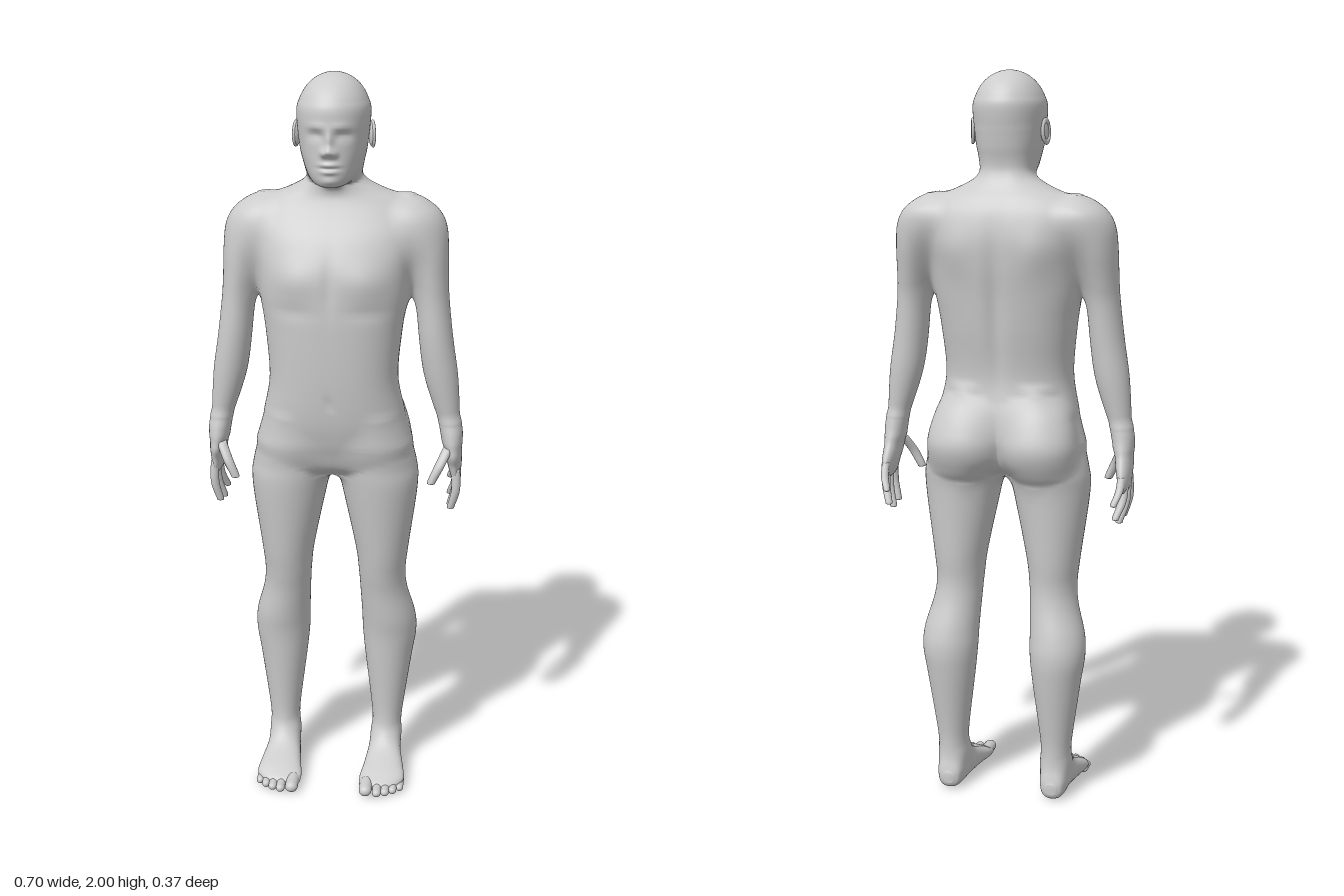
import * as THREE from 'three';

const skin = new THREE.MeshStandardMaterial({ color: 0xcccccc });
skin.name = 'plain grey skin';
const BLEND = 0.04; // reach of the soft joint between parts

// Smooth rings through sections [y, xMin, xMax, zBack, zFront], lowest first
function sampleRings(sections, steps = 6) {
  const rows = [...sections].sort((a, b) => a[0] - b[0]);
  const at = i => rows[Math.min(Math.max(i, 0), rows.length - 1)];
  return Array.from({ length: (rows.length - 1) * steps + 1 }, (_, k) => {
    const i = Math.min(Math.floor(k / steps), rows.length - 2), t = k / steps - i;
    return at(i).map((b, c) => {
      const a = at(i - 1)[c], d = at(i + 1)[c], e = at(i + 2)[c];
      return b + 0.5 * t * (d - a + t * (2 * a - 5 * b + 4 * d - e + t * (3 * (b - d) + e - a)));
    });
  });
}

// Mirrored soft bumps [x, y, width, height, amount] pushed outward on front or back
function relief({ front, back }, x, y, z) {
  const weight = Math.max(-1, Math.min(1, z / 0.06));
  return weight * (weight > 0 ? front : back).reduce((total, [bx, by, w, h, amount]) =>
    total + amount * Math.exp(-(((Math.abs(x) - bx) / w) ** 2) - ((y - by) / h) ** 2), 0);
}

// Closed surface over a part's rings; turned parts run along z instead of y
function loft({ rings, segments, bumps, turned, power: n = 2 }) {
  const cap = ([y, a, b, c, d]) => [y, (a + b) / 2, (a + b) / 2, (c + d) / 2, (c + d) / 2];
  const all = [cap(rings[0]), ...rings, cap(rings[rings.length - 1])];
  const position = [], index = [];
  all.forEach(([y, x0, x1, z0, z1], i) => {
    for (let j = 0; j < segments; j++) {
      const a = (j / segments) * Math.PI * 2, s = Math.sin(a), c = Math.cos(a);
      const r = 0.5 / Math.pow(Math.abs(s) ** n + Math.abs(c) ** n, 1 / n);
      const x = (x0 + x1) / 2 + (x1 - x0) * r * s;
      let z = (z0 + z1) / 2 + (z1 - z0) * r * c;
      if (bumps) z += relief(bumps, x, y, z);
      position.push(x, turned ? -z : y, turned ? y : z);
      if (i === all.length - 1) continue;
      const A = i * segments + j, B = i * segments + ((j + 1) % segments);
      index.push(A, B, A + segments, B, B + segments, A + segments);
    }
  });
  const geometry = new THREE.BufferGeometry();
  geometry.setAttribute('position', new THREE.Float32BufferAttribute(position, 3));
  geometry.setIndex(index);
  geometry.computeVertexNormals();
  return geometry;
}

// Approximate signed distance from a point to a part
function distance({ rings, bumps, turned, paired, power: n = 2 }, p) {
  let x = paired ? Math.abs(p.x) : p.x, y = turned ? p.z : p.y, z = turned ? -p.y : p.z;
  const low = rings[0][0], high = rings[rings.length - 1][0];
  const beyond = Math.max(low - y, y - high, 0);
  if (beyond > 0.1) return beyond;
  y = Math.min(Math.max(y, low), high);
  if (bumps) z -= relief(bumps, x, y, z);
  const i = Math.max(1, rings.findIndex(r => r[0] >= y));
  const t = (y - rings[i - 1][0]) / (rings[i][0] - rings[i - 1][0]);
  const [, x0, x1, z0, z1] = rings[i].map((v, c) => rings[i - 1][c] + (v - rings[i - 1][c]) * t);
  const rx = (x1 - x0) / 2, rz = (z1 - z0) / 2;
  const u = Math.abs(x - (x0 + x1) / 2) / rx, v = Math.abs(z - (z0 + z1) / 2) / rz;
  const d = (Math.pow(u ** n + v ** n, 1 / n) - 1) * Math.min(rx, rz);
  return beyond > 0 ? Math.hypot(Math.max(d, 0), beyond) : d;
}

// Moves vertices near a joint onto the softly joined surface of all parts
function blendJoints(geometry, part, parts) {
  const field = p => parts.reduce((a, q) => {
    const b = distance(q, p), h = Math.max(BLEND - Math.abs(a - b), 0) / BLEND;
    return Math.min(a, b) - h * h * BLEND / 4;
  }, 1);
  const { position, normal } = geometry.attributes, p = new THREE.Vector3(), g = new THREE.Vector3();
  const slope = axis => {
    const a = p.clone(), b = p.clone();
    a[axis] += 0.002;
    b[axis] -= 0.002;
    return (field(a) - field(b)) / 0.004;
  };
  const others = parts.filter(q => q !== part);
  for (let i = 0; i < position.count; i++) {
    p.fromBufferAttribute(position, i);
    const near = Math.min(...others.map(q => distance(q, p)));
    if (near > BLEND || near < -0.025) continue;
    for (let k = 0; k < 5; k++) {
      g.set(slope('x'), slope('y'), slope('z'));
      const length = Math.max(g.length(), 0.2);
      p.addScaledVector(g, -Math.max(-0.015, Math.min(0.015, field(p) / length)) / length);
    }
    g.normalize();
    position.setXYZ(i, p.x, p.y, p.z);
    normal.setXYZ(i, g.x, g.y, g.z);
  }
}

// Tapered finger through three points, rounded at the tip
function finger([base, middle, tip], r) {
  const ring = ([x, y, z], q, drop) => [y - drop, x - q, x + q, z - q, z + q];
  return loft({ segments: 16, rings: sampleRings([ring(base, r, 0), ring(middle, r, 0),
    ring(tip, r * 0.85, -0.008), ring(tip, r * 0.65, -0.002), ring(tip, r * 0.2, 0)]) });
}

// Symmetric sections from [y, halfWidth, zBack, zFront]
const symmetric = rows => rows.map(([y, w, back, front]) => [y, -w, w, back, front]);

// Torso and neck, with chest, spine and shoulder blades
const torsoRows = [
  [0.925, 0.03, -0.05, 0.04], [0.95, 0.1, -0.1, 0.08], [1.0, 0.185, -0.12, 0.102],
  [1.04, 0.198, -0.132, 0.115], [1.1, 0.192, -0.135, 0.128], [1.2, 0.174, -0.123, 0.138],
  [1.33, 0.184, -0.142, 0.143], [1.42, 0.198, -0.154, 0.143], [1.5, 0.206, -0.165, 0.136],
  [1.57, 0.222, -0.168, 0.108], [1.63, 0.23, -0.157, 0.07], [1.672, 0.192, -0.137, 0.048],
  [1.7, 0.125, -0.116, 0.042], [1.73, 0.077, -0.098, 0.044], [1.78, 0.064, -0.086, 0.046],
  [1.84, 0.056, -0.075, 0.045]];
const torsoBumps = {
  front: [[0.095, 1.475, 0.06, 0.045, 0.009], [0, 1.47, 0.016, 0.07, -0.005],
    [0.1, 1.395, 0.06, 0.016, -0.004], [0, 1.15, 0.01, 0.01, -0.006]],
  back: [[0, 1.4, 0.025, 0.2, -0.014], [0.11, 1.54, 0.045, 0.06, 0.008]],
};

// Head, with nose, eyes, brows, lips and chin
const headRows = [
  [1.718, 0.022, 0.055, 0.115], [1.725, 0.043, 0.01, 0.124], [1.745, 0.062, -0.045, 0.13],
  [1.78, 0.077, -0.083, 0.131], [1.82, 0.088, -0.102, 0.13], [1.9, 0.096, -0.115, 0.133],
  [1.935, 0.088, -0.106, 0.121], [1.965, 0.071, -0.085, 0.097], [1.985, 0.049, -0.058, 0.068],
  [1.996, 0.026, -0.028, 0.036], [2.0, 0.006, -0.004, 0.01]];
const faceBumps = {
  front: [[0, 1.838, 0.011, 0.022, 0.011], [0, 1.81, 0.014, 0.012, 0.022],
    [0.015, 1.805, 0.008, 0.009, 0.009], [0.036, 1.849, 0.019, 0.012, -0.012],
    [0.036, 1.845, 0.012, 0.007, 0.006], [0.03, 1.87, 0.028, 0.01, 0.005],
    [0, 1.777, 0.022, 0.006, 0.007], [0, 1.759, 0.02, 0.006, 0.007],
    [0, 1.7685, 0.024, 0.003, -0.005], [0, 1.735, 0.02, 0.01, 0.004]],
  back: [],
};

// Limbs
const armRows = [
  [1.68, 0.185, 0.21, -0.075, -0.03], [1.668, 0.155, 0.238, -0.1, 0.005],
  [1.64, 0.14, 0.274, -0.128, 0.034], [1.6, 0.138, 0.296, -0.132, 0.046],
  [1.54, 0.18, 0.302, -0.118, 0.046], [1.46, 0.21, 0.304, -0.094, 0.041],
  [1.4, 0.22, 0.308, -0.08, 0.038], [1.3, 0.228, 0.32, -0.072, 0.038],
  [1.2, 0.243, 0.335, -0.067, 0.031], [1.1, 0.275, 0.342, -0.056, 0.018],
  [1.05, 0.296, 0.342, -0.05, 0.01], [1.02, 0.308, 0.335, -0.04, 0]];
const palmRows = [
  [1.06, 0.302, 0.335, -0.04, 0.002], [1.03, 0.3, 0.346, -0.055, 0.018],
  [0.98, 0.304, 0.351, -0.082, 0.03], [0.945, 0.311, 0.351, -0.098, 0.016],
  [0.915, 0.319, 0.348, -0.102, 0.008], [0.9, 0.327, 0.341, -0.09, -0.005]];
const legRows = [
  [1.09, 0.08, 0.16, -0.09, 0.07], [1.02, 0.02, 0.205, -0.135, 0.102],
  [0.95, 0.005, 0.227, -0.142, 0.095], [0.88, 0.02, 0.231, -0.128, 0.09],
  [0.7, 0.058, 0.208, -0.115, 0.065], [0.62, 0.068, 0.2, -0.108, 0.05],
  [0.56, 0.072, 0.206, -0.115, 0.038], [0.48, 0.076, 0.228, -0.138, 0.028],
  [0.42, 0.078, 0.232, -0.146, 0.018], [0.34, 0.086, 0.22, -0.137, 0.01],
  [0.17, 0.107, 0.196, -0.109, -0.004], [0.1, 0.11, 0.19, -0.104, 0.002],
  [0.06, 0.13, 0.17, -0.08, -0.01]];
const buttockRows = [
  [0.91, 0.085, 0.115, -0.1, -0.06], [0.935, 0.05, 0.16, -0.14, -0.04],
  [0.975, 0.015, 0.188, -0.17, -0.03], [1.02, 0.005, 0.196, -0.181, -0.03],
  [1.07, 0.007, 0.186, -0.166, -0.03], [1.12, 0.02, 0.16, -0.138, -0.03],
  [1.16, 0.06, 0.12, -0.11, -0.04]];
// Foot sections run heel to ball: [z, xMin, xMax, -top, -sole]
const footRows = [
  [-0.118, 0.135, 0.165, -0.05, -0.02], [-0.108, 0.12, 0.18, -0.074, -0.006],
  [-0.08, 0.112, 0.188, -0.09, 0], [-0.02, 0.103, 0.193, -0.1, 0], [0.06, 0.092, 0.207, -0.066, 0],
  [0.1, 0.085, 0.212, -0.049, 0], [0.122, 0.085, 0.202, -0.038, -0.001],
  [0.14, 0.088, 0.18, -0.028, -0.004], [0.148, 0.1, 0.155, -0.02, -0.008]];

export function createModel() {
  const model = new THREE.Group();
  model.name = 'standingFigure';
  const add = (name, geometry) => {
    const mesh = new THREE.Mesh(geometry, skin);
    mesh.name = name;
    model.add(mesh);
  };
  const addPair = (name, geometry) => {
    add('left' + name, geometry);
    const mirror = geometry.clone().scale(-1, 1, 1);
    mirror.index.array.reverse();
    add('right' + name, mirror);
  };

  // Main body, softly joined
  const limb = (name, rows, options) =>
    ({ name, rings: sampleRings(rows), segments: 52, paired: true, ...options });
  const body = [
    { name: 'torso', rings: sampleRings(symmetric(torsoRows)), segments: 128, power: 2.4, bumps: torsoBumps },
    { name: 'head', rings: sampleRings(symmetric(headRows), 11), segments: 144, power: 2.15, bumps: faceBumps },
    limb('Arm', armRows), limb('Palm', palmRows), limb('Leg', legRows),
    limb('Buttock', buttockRows), limb('Foot', footRows, { turned: true, power: 2.4 })];
  for (const part of body) {
    const geometry = loft(part);
    blendJoints(geometry, part, body);
    (part.paired ? addPair : add)(part.name, geometry);
  }

  // Ears: a flat shell with a raised rim
  const ear = g => g.rotateX(-0.12).rotateY(0.3).translate(0.096, 1.843, -0.002);
  addPair('Ear', ear(new THREE.SphereGeometry(1, 24, 16).scale(0.007, 0.031, 0.018)));
  addPair('EarRim', ear(new THREE.TorusGeometry(0.016, 0.0045, 10, 32)
    .rotateY(Math.PI / 2).scale(1, 1.75, 1).translate(0.004, 0, 0)));

  // Fingers and thumb
  addPair('Thumb', finger([[0.314, 1, 0.012], [0.292, 0.955, 0.038], [0.272, 0.905, 0.045]], 0.014));
  addPair('IndexFinger', finger([[0.336, 0.935, -0.003], [0.337, 0.875, -0.001], [0.325, 0.817, -0.008]], 0.012));
  addPair('MiddleFinger', finger([[0.337, 0.935, -0.034], [0.336, 0.87, -0.045], [0.322, 0.81, -0.058]], 0.012));
  addPair('RingFinger', finger([[0.336, 0.935, -0.064], [0.334, 0.88, -0.08], [0.32, 0.828, -0.1]], 0.0115));
  addPair('LittleFinger', finger([[0.331, 0.945, -0.087], [0.329, 0.91, -0.104], [0.318, 0.87, -0.122]], 0.0105));

  // Toes [x, tip z, radius]
  [[0.106, 0.185, 0.018], [0.138, 0.183, 0.0125], [0.161, 0.174, 0.012], [0.182, 0.16, 0.0115],
    [0.201, 0.141, 0.011]].forEach(([x, tip, r], i) => addPair('Toe' + (i + 1),
    new THREE.CapsuleGeometry(r, 0.04, 8, 20).rotateX(Math.PI / 2 + 0.08).scale(1, 0.9, 1)
      .translate(x, r * 0.9 + 0.002, tip - r - 0.02)));
  return model;
}
